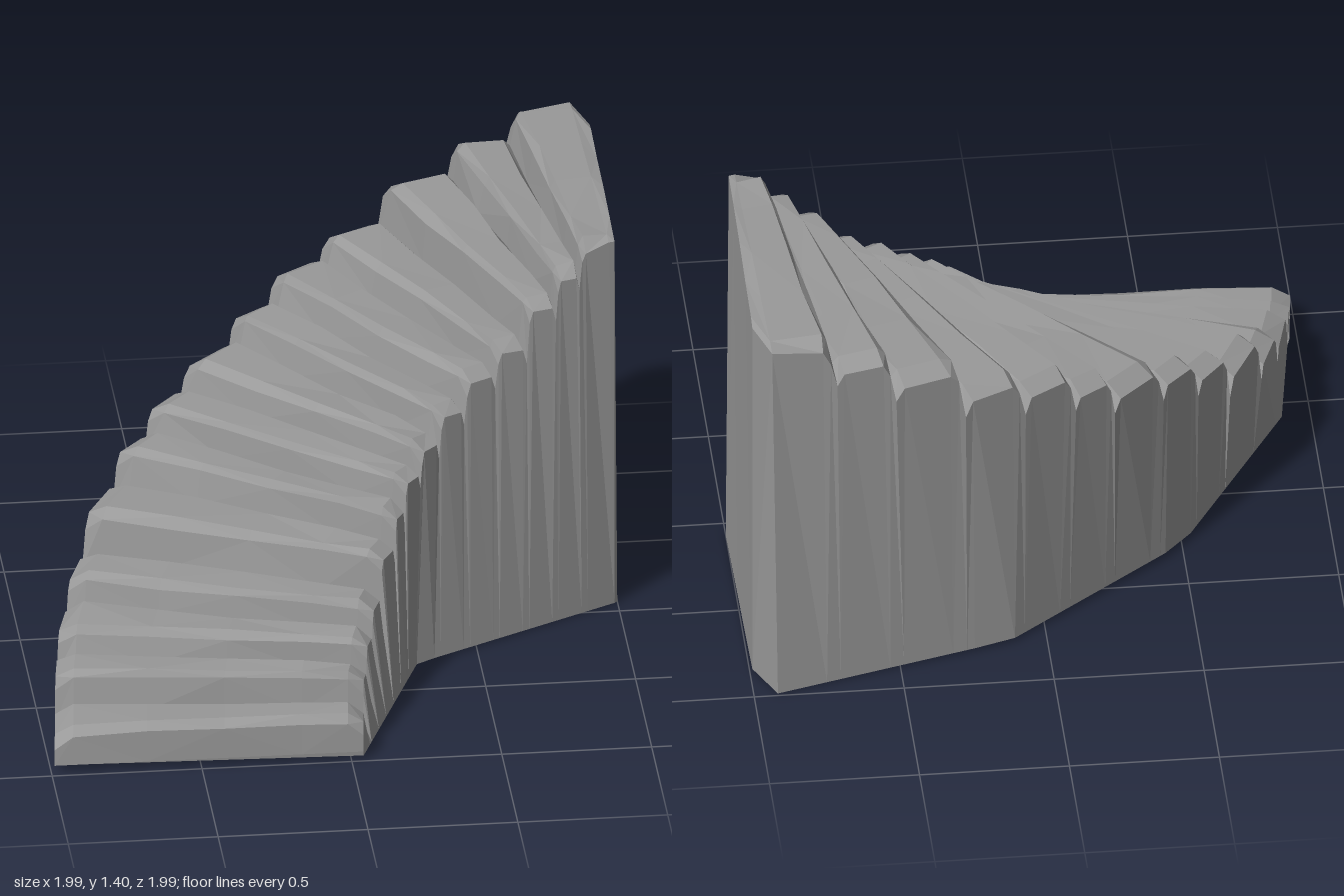
import * as THREE from 'three';

// Nosing line of each step: inner x, inner z, outer x, outer z
const LINES = [
  [0.04, 0.99, -0.99, 0.985], [0.05, 0.88, -0.965, 0.76], [0.07, 0.79, -0.94, 0.59],
  [0.1, 0.69, -0.885, 0.37], [0.14, 0.58, -0.81, 0.16], [0.2, 0.47, -0.68, -0.09],
  [0.24, 0.4, -0.56, -0.23], [0.3, 0.33, -0.43, -0.37], [0.37, 0.26, -0.25, -0.54],
  [0.46, 0.2, -0.11, -0.64], [0.57, 0.14, 0.07, -0.76], [0.68, 0.1, 0.28, -0.865],
  [0.78, 0.075, 0.52, -0.945], [0.86, 0.055, 0.72, -0.98], [0.96, 0.035, 0.94, -1.0],
  [0.98, 0.03, 0.99, -0.84],
];
const TOPS = [0.16, 0.26, 0.34, 0.42, 0.55, 0.65, 0.74, 0.82, 0.91, 1.0, 1.08, 1.21, 1.31, 1.4];
const ACROSS = [0, 0.05, 0.2, 0.45, 0.7, 0.94, 1];

// Coarse foot outline: position along the stair, x, z
const FOOT_INNER = [[0, 0.04, 0.99], [7.3, 0.29, 0.33], [14, 0.99, -0.06], [15, 1, -0.07]];
const FOOT_OUTER = [[0, -0.99, 0.985], [3, -0.9, 0.38], [6.5, -0.5, -0.3], [10.3, 0.12, -0.78],
  [14, 0.92, -0.99], [15, 0.99, -0.84]];

let seed = 7;
const jitter = (a) => {
  seed = (seed * 16807) % 2147483647;
  return (seed / 2147483647 - 0.5) * 2 * a;
};
const lerp = THREE.MathUtils.lerp;

function footPoint(path, u) {
  let k = 0;
  while (k < path.length - 2 && u > path[k + 1][0]) k++;
  const [a, b] = [path[k], path[k + 1]];
  const t = (u - a[0]) / (b[0] - a[0]);
  const x = lerp(a[1], b[1], t);
  return new THREE.Vector3(x, 0.015 * (1 - x), lerp(a[2], b[2], t));
}

// Point at distance u along the stair and s from inner to outer side
function plan(u, s, y) {
  const k = Math.min(Math.floor(u), LINES.length - 2);
  const [a, b] = [LINES[k], LINES[k + 1]];
  const c = a.map((v, i) => lerp(v, b[i], u - k));
  return new THREE.Vector3(lerp(c[0], c[2], s), y, lerp(c[1], c[3], s));
}

// Faceted surface through successive rows of points
function surface(rows) {
  const pos = [];
  for (let r = 0; r < rows.length - 1; r++) {
    for (let j = 0; j < rows[r].length - 1; j++) {
      const a = rows[r][j], b = rows[r + 1][j], c = rows[r][j + 1], d = rows[r + 1][j + 1];
      const tris = (r + j) % 2 ? [a, b, c, c, b, d] : [a, b, d, a, d, c];
      for (const p of tris) pos.push(p.x, p.y, p.z);
    }
  }
  const g = new THREE.BufferGeometry();
  g.setAttribute('position', new THREE.Float32BufferAttribute(pos, 3));
  g.computeVertexNormals();
  return g;
}

export function createModel() {
  const group = new THREE.Group();
  const stone = new THREE.MeshStandardMaterial({ color: 0x999999, flatShading: true });
  stone.name = 'grey stone';
  const add = (name, rows) => {
    const mesh = new THREE.Mesh(surface(rows), stone);
    mesh.name = name;
    group.add(mesh);
  };

  // Four rows per step: crevice, worn nosing, tread front, tread back
  const rows = [], along = [];
  const addRow = (u, y, edgeDrop, wobble, lift) => {
    rows.push(ACROSS.map((s, j) => {
      const edge = j === 0 || j === ACROSS.length - 1;
      const uu = edge ? u : u + jitter(wobble);
      return plan(Math.max(0, uu), s, y - (edge ? edgeDrop : 0) + jitter(lift));
    }));
    along.push(u);
  };
  const last = TOPS.length - 1;
  TOPS.forEach((top, i) => {
    if (i === 0) addRow(0, 0.03, 0, 0, 0);
    else addRow(i, TOPS[i - 1] - 0.035, 0.05, 0.03, 0.008);
    addRow(i + (i ? 0.1 : 0.02), top - 0.025, 0.05, i ? 0.03 : 0.01, 0.007);
    addRow(i + 0.22, top, 0.035, 0.05, 0.005);
    addRow(i + (i === last ? 1 : 0.88), top, i === last ? 0.01 : 0.035, i === last ? 0 : 0.04, 0.006);
  });
  addRow(15, 1.395, 0.005, 0, 0.004);

  // Worn stone steps
  TOPS.forEach((_, i) => add(`step${i + 1}`, rows.slice(i * 4, i * 4 + 5)));

  // Solid base under the steps
  const footIn = along.map((u) => footPoint(FOOT_INNER, u));
  const footOut = along.map((u) => footPoint(FOOT_OUTER, u));
  footIn[0].copy(rows[0][0]);
  footOut[0].copy(rows[0][ACROSS.length - 1]);
  add('innerWall', [rows.map((r) => r[0]), footIn]);
  add('outerWall', [footOut, rows.map((r) => r[r.length - 1])]);
  add('underside', [footIn, footOut]);

  // Flat wall at the high end
  const end = rows.length - 1;
  add('endWall', [rows[end], ACROSS.map((s) => footIn[end].clone().lerp(footOut[end], s))]);
  return group;
}
